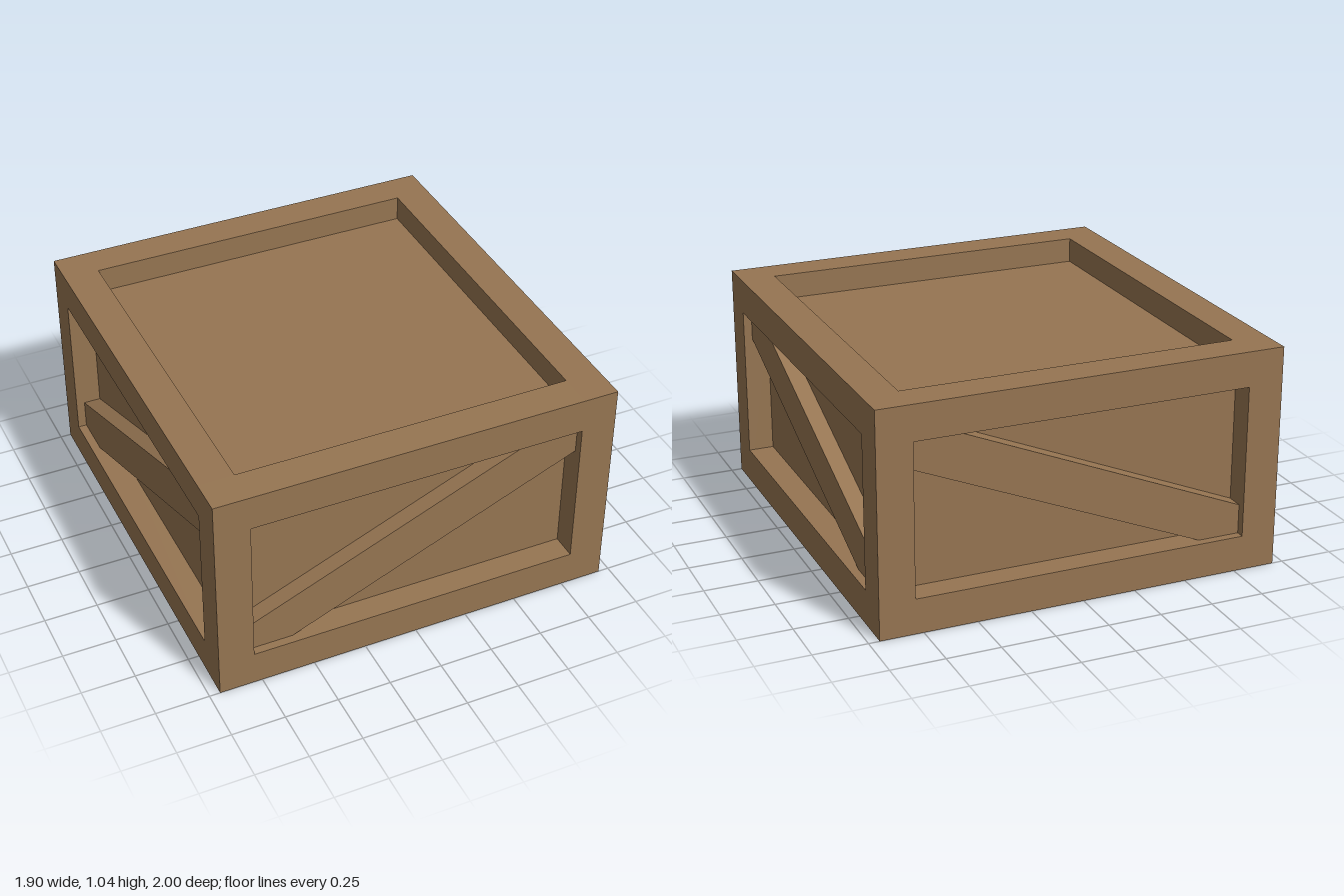
import * as THREE from 'three';

const W = 0.95, H = 1.045, D = 1.0;  // half width, full height, half depth
const B = 0.165;                     // beam thickness
const PANEL = 0.12, BRACE = 0.04;    // recess depths of panels and braces

export function createModel() {
  const crate = new THREE.Group();
  crate.name = 'crate';
  const wood = new THREE.MeshStandardMaterial({ color: 0x967552 });
  wood.name = 'brown wood';

  const add = (name, geometry, x = 0, y = 0, z = 0) => {
    const mesh = new THREE.Mesh(geometry, wood);
    mesh.name = name;
    mesh.position.set(x, y, z);
    crate.add(mesh);
    return mesh;
  };

  // Recessed panels on all six sides
  add('innerPanels', new THREE.BoxGeometry(2 * (W - PANEL), H - 2 * PANEL, 2 * (D - PANEL)), 0, H / 2, 0);

  // Frame: four posts, and rails fitted between them at top and bottom
  const post = new THREE.BoxGeometry(B, H, B);
  const railX = new THREE.BoxGeometry(2 * (W - B), B, B);
  const railZ = new THREE.BoxGeometry(B, B, 2 * (D - B));
  for (const s of [-1, 1]) {
    for (const t of [-1, 1]) {
      add('cornerPost', post, s * (W - B / 2), H / 2, t * (D - B / 2));
      const y = H / 2 + t * (H / 2 - B / 2);
      add('crossRail', railX, 0, y, s * (D - B / 2));
      add('sideRail', railZ, s * (W - B / 2), y, 0);
    }
  }

  // Diagonal brace, trimmed to the opening; it rises to the right in its own plane
  const braceGeometry = (halfOpening) => {
    const h = halfOpening, top = H - B, cut = 0.2, drop = 0.138;
    const shape = new THREE.Shape([
      [-h, B], [-h + cut, B], [h, top - drop], [h, top], [h - cut, top], [-h, B + drop],
    ].map(([x, y]) => new THREE.Vector2(x, y)));
    return new THREE.ExtrudeGeometry(shape, { depth: PANEL - BRACE, bevelEnabled: false });
  };

  // Front and back braces rise towards +x, the side ones towards +z
  const braceX = braceGeometry(W - B);
  add('frontBrace', braceX, 0, 0, D - PANEL);
  add('backBrace', braceX, 0, 0, -D + BRACE);
  const braceZ = braceGeometry(D - B).rotateY(-Math.PI / 2);
  add('leftBrace', braceZ, W - BRACE, 0, 0);
  add('rightBrace', braceZ, -W + PANEL, 0, 0);

  return crate;
}
